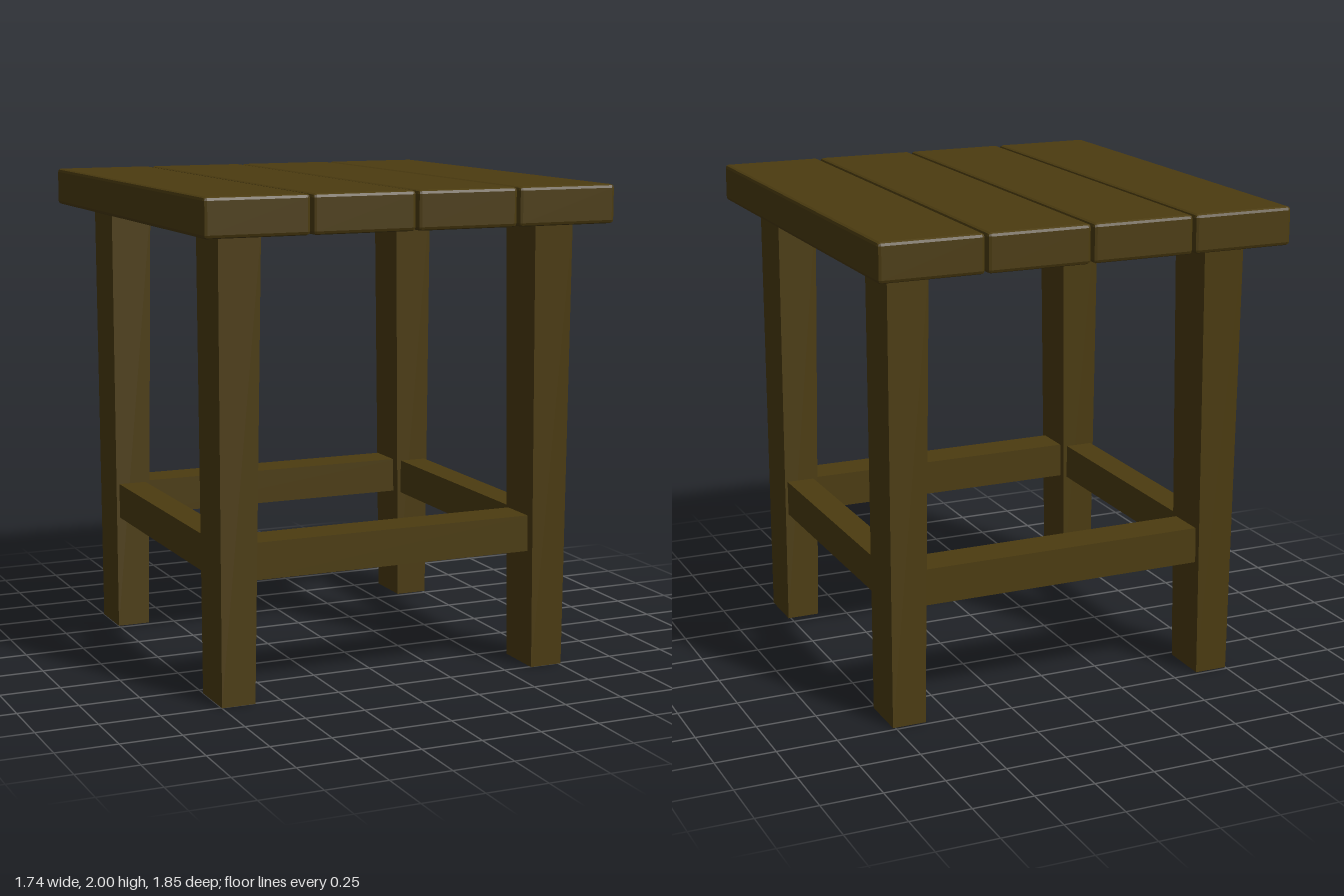
import * as THREE from 'three';
import { RoundedBoxGeometry } from 'three/addons/geometries/RoundedBoxGeometry.js';

const wood = new THREE.MeshStandardMaterial({ color: 0x4c3c10, flatShading: true });

function add(parent, name, geometry, x, y, z) {
  const mesh = new THREE.Mesh(geometry, wood);
  mesh.name = name;
  mesh.position.set(x, y, z);
  parent.add(mesh);
  return mesh;
}

// Four-sided post running from a bottom rectangle to a top one: [xMin, xMax, zMin, zMax]
function taperedPost(bottom, top, height) {
  const geometry = new THREE.BoxGeometry(1, height, 1);
  geometry.translate(0, height / 2, 0);
  const p = geometry.attributes.position;
  for (let i = 0; i < p.count; i++) {
    const r = p.getY(i) > height / 2 ? top : bottom;
    p.setX(i, p.getX(i) < 0 ? r[0] : r[1]);
    p.setZ(i, p.getZ(i) < 0 ? r[2] : r[3]);
  }
  geometry.computeVertexNormals();
  return geometry;
}

export function createModel() {
  const stool = new THREE.Group();
  stool.name = 'stool';

  // Seat: four planks with narrow gaps and softened edges
  const seat = new THREE.Group();
  seat.name = 'seat';
  stool.add(seat);
  for (let i = 0; i < 4; i++) {
    add(seat, 'seatPlank' + (i + 1), new RoundedBoxGeometry(0.427, 0.155, 1.852, 1, 0.014),
      -0.656 + i * 0.4365, 1.9225, 0);
  }

  // Legs: wider at the top, each leaning a little differently
  const legX = {
    left: { bottom: [0.62, 0.76], top: [0.58, 0.75] },
    right: { bottom: [-0.75, -0.61], top: [-0.745, -0.57] },
  };
  const legZ = {
    front: { bottom: [0.545, 0.757], left: [0.56, 0.8], right: [0.503, 0.74] },
    back: { bottom: [-0.735, -0.522], left: [-0.71, -0.481], right: [-0.778, -0.54] },
  };
  for (const end of ['front', 'back']) {
    for (const side of ['left', 'right']) {
      const x = legX[side], z = legZ[end];
      const geometry = taperedPost([...x.bottom, ...z.bottom], [...x.top, ...z[side]], 1.85);
      add(stool, end + (side === 'left' ? 'Left' : 'Right') + 'Leg', geometry, 0, 0, 0);
    }
  }

  // Stretchers: a rail on each side, let into the legs
  const railY = 0.565, railH = 0.15;
  const crossRail = new THREE.BoxGeometry(1.28, railH, 0.165);
  add(stool, 'frontStretcher', crossRail, 0.005, railY, 0.647);
  add(stool, 'backStretcher', crossRail, 0.005, railY, -0.637);
  const sideRail = new THREE.BoxGeometry(0.12, railH, 1.16);
  add(stool, 'leftStretcher', sideRail, 0.685, railY, 0.005);
  add(stool, 'rightStretcher', sideRail, -0.675, railY, 0.005);

  return stool;
}
